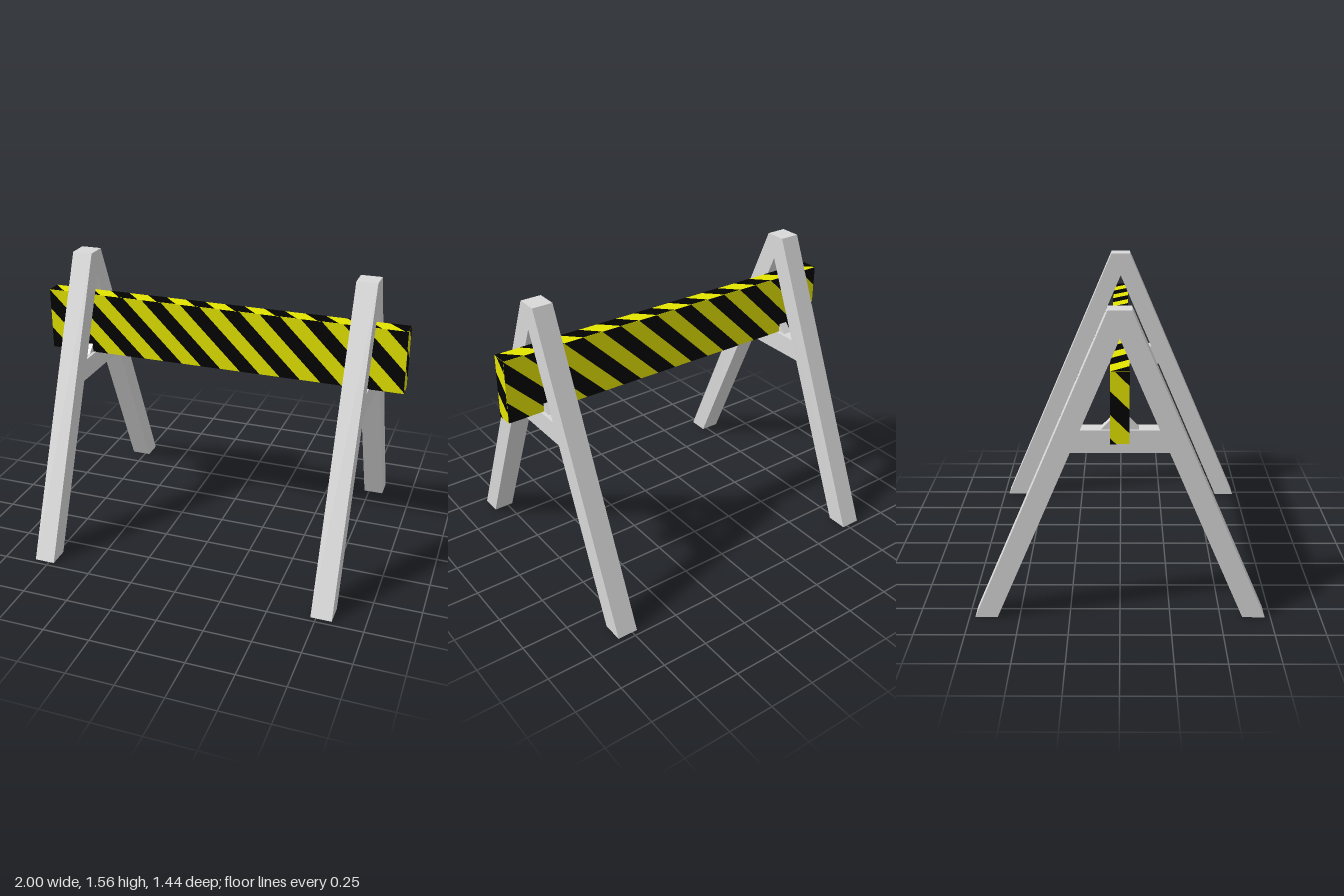
import * as THREE from 'three';

const grey = new THREE.MeshStandardMaterial({ color: 0xd9d9d9, side: THREE.DoubleSide });
grey.name = 'grey';
const yellow = new THREE.MeshStandardMaterial({ color: 0xe4e400 });
yellow.name = 'yellow';
const black = new THREE.MeshStandardMaterial({ color: 0x020202 });
black.name = 'black';

const BEAM = 0.11;
const BOARD = { w: 1.998, h: 0.34, d: 0.088, y: 1.152 };
const STRIPE = 1 / 9;

// Outline given as (z, y) points, extruded along x and centred
function sidePrism(name, points, width) {
  const shape = new THREE.Shape(points.map(([z, y]) => new THREE.Vector2(-z, y)));
  const geo = new THREE.ExtrudeGeometry(shape, { depth: width, bevelEnabled: false });
  geo.translate(0, 0, -width / 2).rotateY(Math.PI / 2);
  const mesh = new THREE.Mesh(geo, grey);
  mesh.name = name;
  return mesh;
}

// Drop the triangles lying on the ground, leaving the feet open
function openFeet(mesh) {
  const pos = mesh.geometry.attributes.position;
  const kept = [];
  for (let i = 0; i < pos.count; i += 3) {
    const tri = [i, i + 1, i + 2];
    if (tri.some((k) => pos.getY(k) > 0.001)) kept.push(...tri);
  }
  mesh.geometry.setIndex(kept);
  mesh.geometry.clearGroups();
  return mesh;
}

// Cut a polygon at u = limit, keeping the side given by sign
function clip(poly, limit, sign) {
  const out = [];
  poly.forEach((a, i) => {
    const b = poly[(i + 1) % poly.length];
    const da = sign * (limit - a.x), db = sign * (limit - b.x);
    if (da >= 0) out.push(a);
    if (da * db < 0) out.push(a.clone().lerp(b, da / (da - db)));
  });
  return out;
}

// Stripes at 45 degrees on a w by h face; start is a stripe's left end on the top edge
function stripes(name, w, h, start) {
  const shapes = [];
  const period = 2 * STRIPE;
  const first = start - Math.ceil((start + w / 2 + STRIPE + h) / period) * period;
  for (let u = first; u < w / 2 - 0.002; u += period) {
    let poly = [[u, h / 2], [u + h, -h / 2], [u + h + STRIPE, -h / 2], [u + STRIPE, h / 2]]
      .map(([x, y]) => new THREE.Vector2(x, y));
    poly = clip(clip(poly, w / 2, 1), -w / 2, -1);
    if (poly.length > 2) shapes.push(new THREE.Shape(poly));
  }
  const mesh = new THREE.Mesh(new THREE.ShapeGeometry(shapes), black);
  mesh.name = name;
  return mesh;
}

function createTrestle(x) {
  const trestle = new THREE.Group();
  trestle.name = 'trestle';
  trestle.position.x = x;
  // Splayed legs joined at the top
  trestle.add(openFeet(sidePrism('legs', [
    [0.722, 0], [0.056, 1.558], [-0.056, 1.558], [-0.722, 0], [-0.61, 0], [0, 1.428], [0.61, 0],
  ], BEAM)));
  // Crossbar fitted between the legs
  trestle.add(sidePrism('crossbar', [
    [0.238, 0.872], [0.19, 0.983], [-0.19, 0.983], [-0.238, 0.872],
  ], 0.085));
  // Wedges holding the board upright
  for (const s of [1, -1]) {
    trestle.add(sidePrism('wedge', [
      [s * 0.09, 0.983], [s * 0.044, 1.03], [s * 0.044, 0.983],
    ], 0.05));
  }
  return trestle;
}

function createBoard() {
  const { w, h, d, y } = BOARD;
  const board = new THREE.Group();
  board.name = 'board';
  board.position.y = y;
  const panel = new THREE.Mesh(new THREE.BoxGeometry(w, h, d), yellow);
  panel.name = 'panel';
  board.add(panel);

  const lift = 0.001;
  for (const s of [1, -1]) {
    // Front and back
    const face = stripes('faceStripes', w, h, 0);
    face.rotation.y = s > 0 ? 0 : Math.PI;
    face.position.z = s * (d / 2 + lift);
    // Ends
    const end = stripes('endStripes', d, h, -0.022);
    end.rotation.y = s * Math.PI / 2;
    end.position.x = s * (w / 2 + lift);
    // Top and bottom
    const edge = stripes('edgeStripes', w, d, 0);
    edge.rotation.x = -s * Math.PI / 2;
    edge.position.y = s * (h / 2 + lift);
    board.add(face, end, edge);
  }
  return board;
}

export function createModel() {
  const model = new THREE.Group();
  model.name = 'roadBarrier';
  model.add(createTrestle(0.777), createTrestle(-0.777), createBoard());
  return model;
}
